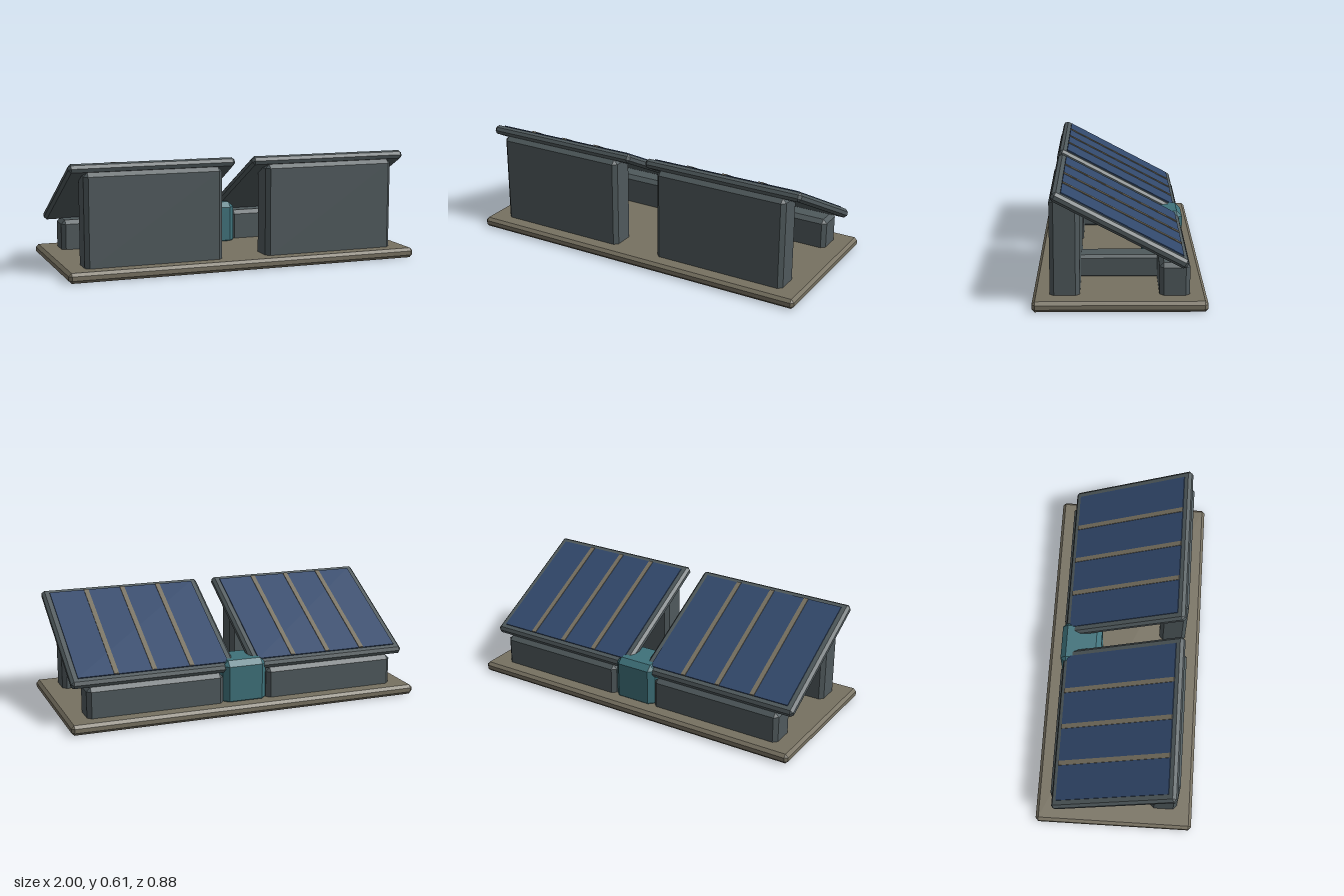
import * as THREE from 'three';
import { ConvexGeometry } from 'three/addons/geometries/ConvexGeometry.js';

const mat = (name, color) => {
  const m = new THREE.MeshStandardMaterial({ color });
  m.name = name;
  return m;
};

// Box with every edge bevelled, centred on its origin
function bevelBox(w, h, d, c) {
  const pts = [];
  const a = w / 2, b = h / 2, e = d / 2;
  for (const x of [-1, 1]) for (const y of [-1, 1]) for (const z of [-1, 1]) {
    pts.push(
      new THREE.Vector3(x * a, y * (b - c), z * (e - c)),
      new THREE.Vector3(x * (a - c), y * b, z * (e - c)),
      new THREE.Vector3(x * (a - c), y * (b - c), z * e));
  }
  return new ConvexGeometry(pts);
}

export function createModel() {
  const stone = mat('warm stone', 0x777161);
  const steel = mat('slate steel', 0x4f595c);
  const teal = mat('teal casing', 0x3e717a);
  const blue = mat('cell blue', 0x31486b);

  const root = new THREE.Group();
  root.name = 'solarArray';

  const add = (parent, name, geometry, material, x, y, z) => {
    const mesh = new THREE.Mesh(geometry, material);
    mesh.name = name;
    mesh.position.set(x, y, z);
    parent.add(mesh);
    return mesh;
  };

  // Ground slab
  add(root, 'basePlate', bevelBox(2, 0.055, 0.88, 0.016), stone, 0, 0.0275, 0);

  // Control unit between the two bays
  add(root, 'controlBox', bevelBox(0.25, 0.255, 0.23, 0.03), teal, 0, 0.1575, -0.245);

  for (const side of [-1, 1]) {
    const bay = new THREE.Group();
    bay.name = side > 0 ? 'leftBay' : 'rightBay';
    bay.position.x = side * 0.51;
    root.add(bay);

    // Supports: tall front wall, low rear wall and the beam joining them
    add(bay, 'frontWall', bevelBox(0.765, 0.53, 0.153, 0.022), steel, 0, 0.295, 0.278);
    add(bay, 'rearWall', bevelBox(0.765, 0.192, 0.155, 0.022), steel, 0, 0.126, -0.2775);
    add(bay, 'crossBeam', bevelBox(0.14, 0.125, 0.45, 0.015), steel, 0, 0.1075, 0);

    // Tilted panel: frame, cell sheet and dividing strips
    const panel = new THREE.Group();
    panel.name = 'panel';
    panel.position.y = 0.411;
    panel.rotation.x = -THREE.MathUtils.degToRad(28);
    bay.add(panel);
    add(panel, 'panelFrame', bevelBox(0.92, 0.05, 0.765, 0.015), steel, 0, 0, 0);
    add(panel, 'cellSheet', new THREE.BoxGeometry(0.84, 0.008, 0.69), blue, 0, 0.027, 0);
    for (const i of [-1, 0, 1]) {
      add(panel, 'cellDivider', new THREE.BoxGeometry(0.026, 0.008, 0.69), stone, i * 0.211, 0.031, 0);
    }
  }
  return root;
}
